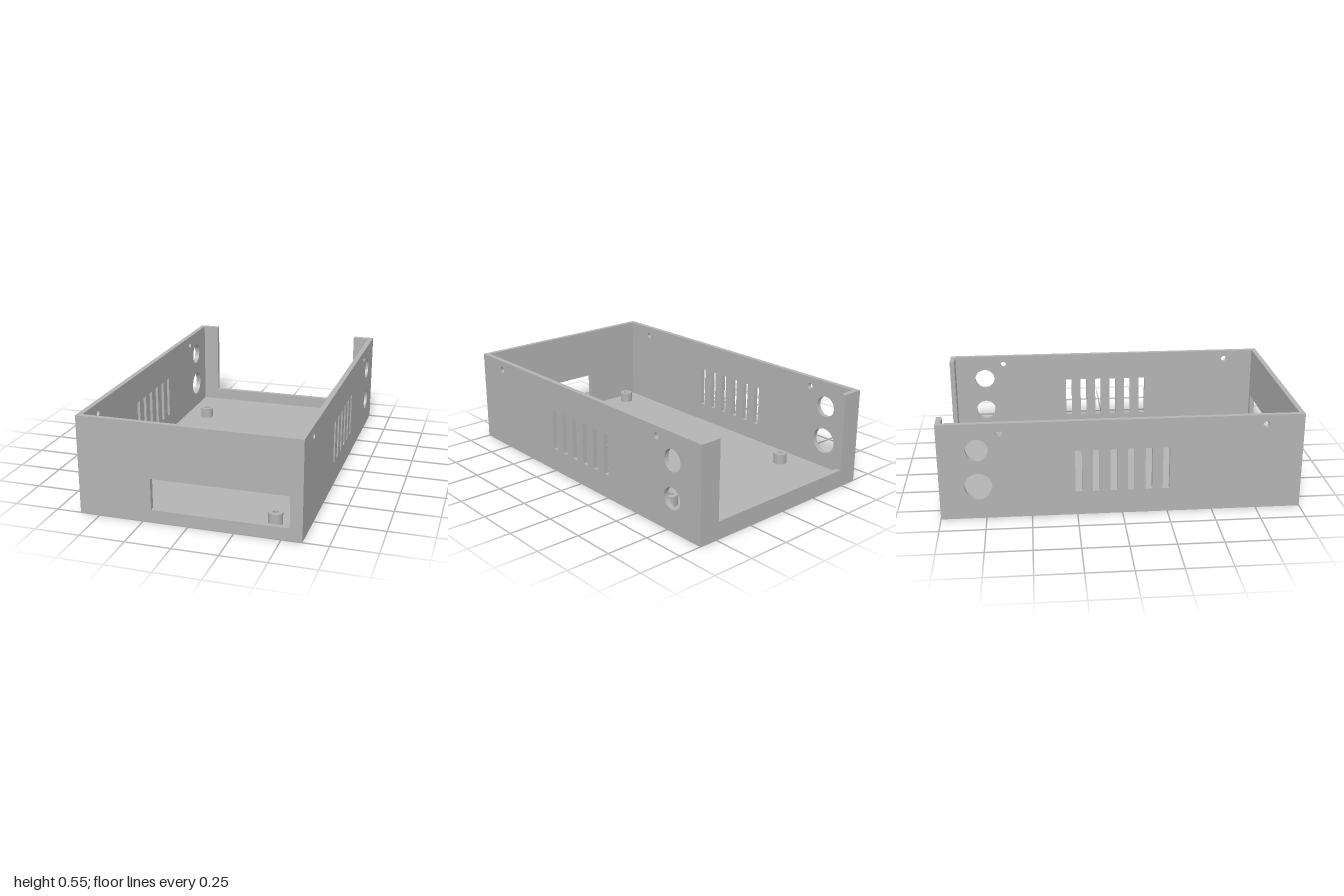
import * as THREE from 'three';
import { toCreasedNormals } from 'three/addons/utils/BufferGeometryUtils.js';

const W = 0.611, H = 0.554, T = 0.029; // half width, height, wall thickness
const IN = W - T;                      // inner half width

const polygon = (C, pts) => new C(pts.map(([x, y]) => new THREE.Vector2(x, y)));
const rect = (C, x0, y0, x1, y1) => polygon(C, [[x0, y0], [x1, y0], [x1, y1], [x0, y1]]);
const circle = (C, x, y, r) => {
  const c = new C();
  c.absarc(x, y, r, 0, Math.PI * 2, false);
  return c;
};
const plate = (shape, depth) => toCreasedNormals(
  new THREE.ExtrudeGeometry(shape, { depth, bevelEnabled: false, curveSegments: 32 }), 0.5);

export function createModel() {
  const group = new THREE.Group();
  const grey = new THREE.MeshStandardMaterial({ color: 0xb3b3b3 });
  grey.name = 'plainGrey';
  const add = (name, geometry) => {
    const mesh = new THREE.Mesh(geometry, grey);
    mesh.name = name;
    group.add(mesh);
    return mesh;
  };

  // Side walls: vent slots, two connector holes and two screw holes each
  const sideWall = (name, x, lowerRadius) => {
    const s = rect(THREE.Shape, -1, 0, 1, H);
    for (let i = 0; i < 6; i++) {
      const z = (i - 2.5) * 0.0964;
      s.holes.push(rect(THREE.Path, z - 0.019, 0.139, z + 0.019, 0.383));
    }
    s.holes.push(
      circle(THREE.Path, -0.787, 0.402, 0.062),
      circle(THREE.Path, -0.787, 0.19, lowerRadius),
      circle(THREE.Path, 0.787, 0.498, 0.018),
      circle(THREE.Path, -0.664, 0.498, 0.018));
    add(name, plate(s, T).rotateY(-Math.PI / 2).translate(x, 0, 0));
  };
  sideWall('leftWall', W, 0.062);
  sideWall('rightWall', -IN, 0.076);

  // Floor
  add('floor', new THREE.BoxGeometry(IN * 2, T, 2 - 2 * T)).position.y = T / 2;

  // Front wall with display window
  const front = rect(THREE.Shape, -IN, 0, IN, H);
  front.holes.push(rect(THREE.Path, -0.204, 0.069, 0.544, 0.246));
  add('frontWall', plate(front, T)).position.z = 1 - T;

  // Back wall: low sill between two corner posts
  const back = polygon(THREE.Shape, [
    [-IN, 0], [IN, 0], [IN, H], [0.484, H], [0.484, 0.1],
    [-0.484, 0.1], [-0.484, H], [-IN, H]]);
  add('backWall', plate(back, T)).position.z = -1;

  // Hollow standoffs on the floor
  const ring = circle(THREE.Shape, 0, 0, 0.039);
  ring.holes.push(circle(THREE.Path, 0, 0, 0.016));
  const standoff = plate(ring, 0.062).rotateX(-Math.PI / 2);
  for (const x of [-0.438, 0.438]) {
    for (const z of [-0.584, 0.875]) add('standoff', standoff).position.set(x, T, z);
  }
  return group;
}
